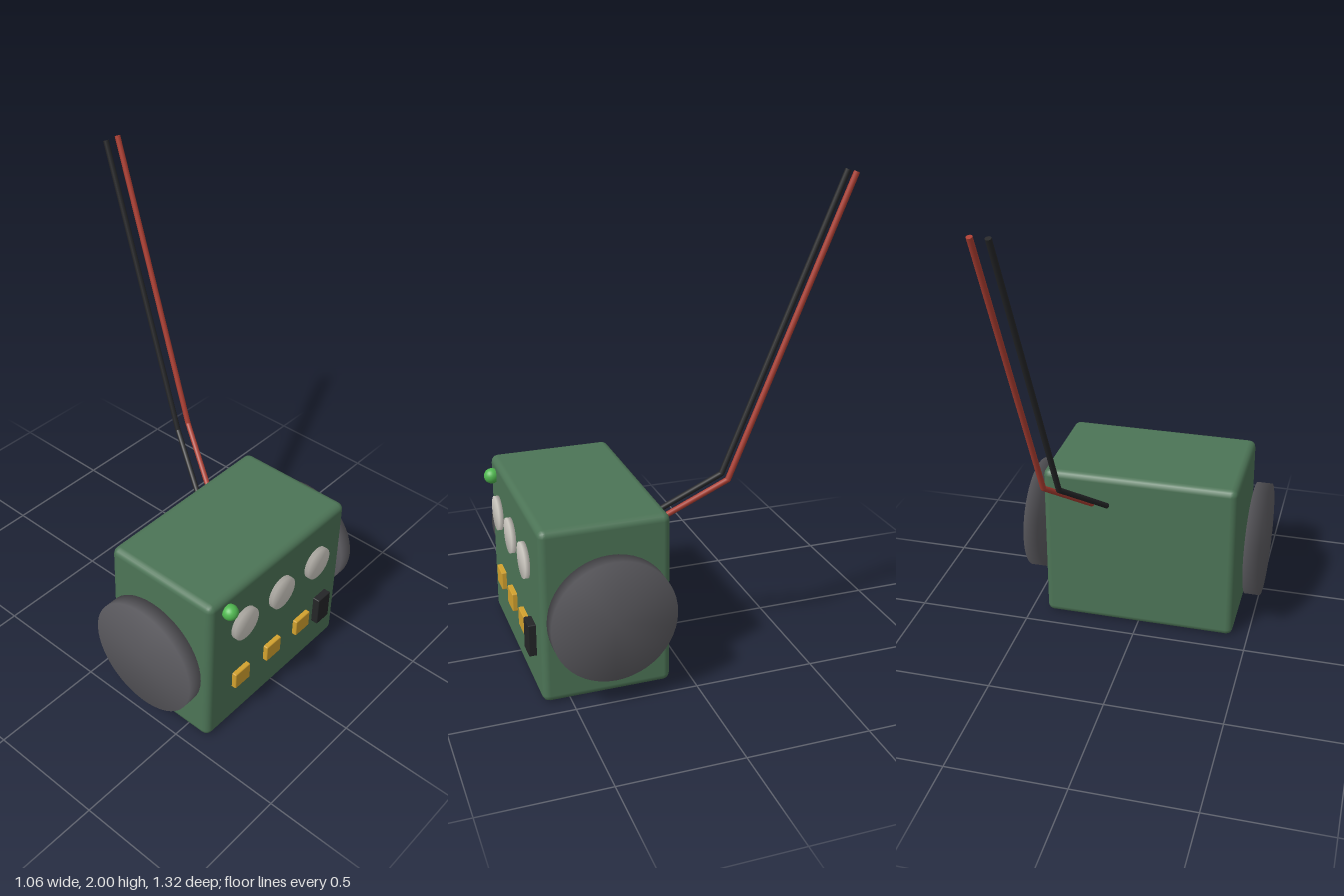
import * as THREE from 'three';
import { RoundedBoxGeometry } from 'three/addons/geometries/RoundedBoxGeometry.js';
import { mergeVertices } from 'three/addons/utils/BufferGeometryUtils.js';

const material = (name, color) => {
  const m = new THREE.MeshStandardMaterial({ color });
  m.name = name;
  return m;
};

// Disc whose normals blend over the rim, so it shades like a soft lens
function softDisc(radius, depth) {
  const g = new THREE.CylinderGeometry(radius, radius, depth, 48);
  g.deleteAttribute('normal');
  g.deleteAttribute('uv');
  const merged = mergeVertices(g);
  merged.computeVertexNormals();
  return merged;
}

export function createModel() {
  const model = new THREE.Group();
  model.name = 'robot';

  const green = material('board green', 0x4c7456);
  const grey = material('wheel grey', 0x5c5b60);
  const silver = material('sensor silver', 0xd2cec6);
  const gold = material('button gold', 0xd2a12e);
  const black = material('black plastic', 0x242527);
  const red = material('wire red', 0xaa3d31);
  const lamp = material('lamp green', 0x50b850);

  const add = (name, geometry, mat, x, y, z, parent = model) => {
    const mesh = new THREE.Mesh(geometry, mat);
    mesh.name = name;
    mesh.position.set(x, y, z);
    parent.add(mesh);
    return mesh;
  };

  // Body with softened edges
  add('body', new RoundedBoxGeometry(0.858, 0.732, 0.526, 2, 0.03), green, -0.002, 0.368, 0.347);

  // Wheels stand just clear of the body sides
  for (const side of [-1, 1]) {
    const wheel = add(side > 0 ? 'leftWheel' : 'rightWheel', softDisc(0.252, 0.066), grey, side * 0.498, 0.37, 0.346);
    wheel.rotation.z = Math.PI / 2;
  }

  // Three round sensors above three buttons
  [-0.236, -0.003, 0.232].forEach((x, i) => {
    const sensor = add(`sensor${i + 1}`, softDisc(0.073, 0.019), silver, x, 0.538, 0.626);
    sensor.rotation.x = Math.PI / 2;
  });
  [-0.237, -0.035, 0.163].forEach((x, i) => {
    add(`button${i + 1}`, new RoundedBoxGeometry(0.092, 0.08, 0.03, 1, 0.005), gold, x, 0.235, 0.616);
  });

  // Switch and indicator lamp
  add('switch', new RoundedBoxGeometry(0.08, 0.136, 0.036, 1, 0.004), black, 0.297, 0.237, 0.623);
  add('lamp', new THREE.SphereGeometry(0.033, 24, 16), lamp, -0.334, 0.67, 0.626);

  // Pair of bent wires rising from the back
  const wireRadius = 0.012;
  for (const [name, mat, shift] of [['blackWire', black, 0], ['redWire', red, 0.067]]) {
    const wire = new THREE.Group();
    wire.name = name;
    model.add(wire);
    const points = [[0.133, 0.605, 0.07], [0.265, 0.803, -0.186], [0.331, 1.995, -0.648]]
      .map(([x, y, z]) => new THREE.Vector3(x + shift, y, z));
    for (let i = 0; i < 2; i++) {
      const span = points[i + 1].clone().sub(points[i]);
      const mid = points[i].clone().addScaledVector(span, 0.5);
      const length = add(`${name}Length${i + 1}`,
        new THREE.CylinderGeometry(wireRadius, wireRadius, span.length(), 12), mat, mid.x, mid.y, mid.z, wire);
      length.quaternion.setFromUnitVectors(new THREE.Vector3(0, 1, 0), span.normalize());
    }
    add(`${name}Bend`, new THREE.SphereGeometry(wireRadius, 12, 8), mat, ...points[1].toArray(), wire);
  }

  return model;
}
